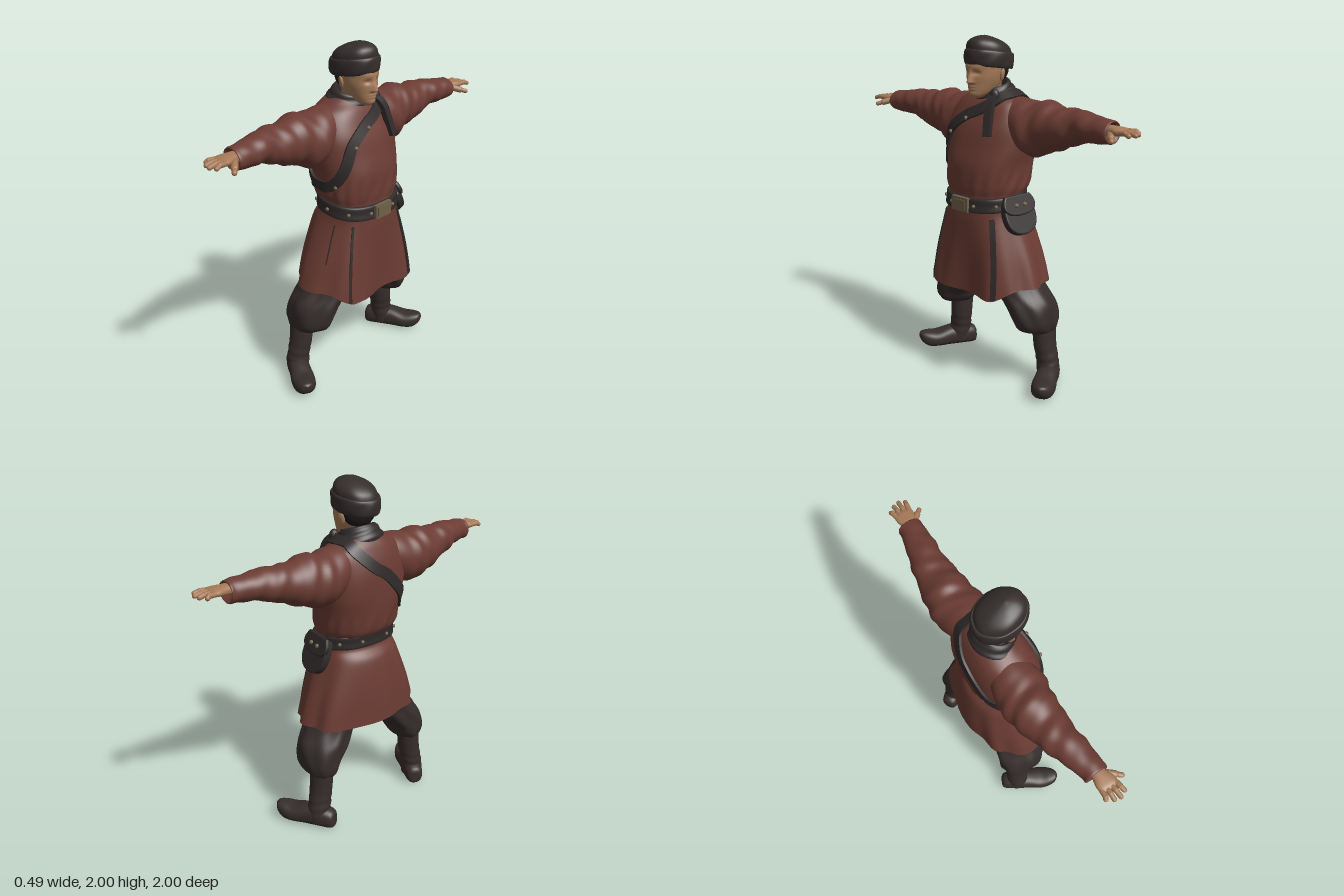
import * as THREE from 'three';
import { toCreasedNormals } from 'three/addons/utils/BufferGeometryUtils.js';

const mat = (name, color, side = THREE.FrontSide) => {
  const m = new THREE.MeshStandardMaterial({ color, side });
  m.name = name;
  return m;
};
const V = (x, y, z) => new THREE.Vector3(x, y, z);
const spow = (v, e) => Math.sign(v) * Math.pow(Math.abs(v), e);
const bump = (v, w) => Math.exp(-(v * v) / (w * w));
const step = THREE.MathUtils.smoothstep;

// Smoothly resample rows of [s, centreA, centreB, radiusA, radiusB]
function resample(rows, per) {
  const r = rows[0][0] > rows[rows.length - 1][0] ? [...rows].reverse() : rows;
  const out = [];
  for (let i = 0; i < r.length - 1; i++) {
    const [p0, p1, p2, p3] = [r[Math.max(0, i - 1)], r[i], r[i + 1], r[Math.min(r.length - 1, i + 2)]];
    for (let k = 0; k < per; k++) {
      const t = k / per;
      out.push(p1.map((b, c) => b + 0.5 * t * (p2[c] - p0[c] + t * (2 * p0[c] - 5 * b + 4 * p2[c] - p3[c] + t * (3 * (b - p2[c]) + p3[c] - p0[c])))));
    }
  }
  out.push(r[r.length - 1]);
  return out;
}

// Ring of a row at an angle; fold() scales the radius there
function ringPoint([s, a, b, ra, rb], ang, n, fold) {
  const k = fold ? 1 + fold(s, ang) : 1;
  return V(a + ra * k * spow(Math.cos(ang), 2 / n), s, b + rb * k * spow(Math.sin(ang), 2 / n));
}

// Skin over elliptical sections; map() turns the point into place
function loft(rows, { n = 2, seg = 40, per = 6, fold, map = p => p, caps = true } = {}) {
  const R = resample(rows, per), pos = [], idx = [];
  for (const row of R) {
    for (let j = 0; j < seg; j++) pos.push(...map(ringPoint(row, j / seg * Math.PI * 2, n, fold)).toArray());
  }
  for (let i = 0; i < R.length - 1; i++) for (let j = 0; j < seg; j++) {
    const a = i * seg + j, d = i * seg + (j + 1) % seg;
    idx.push(a, a + seg, d, a + seg, d + seg, d);
  }
  if (caps) {
    const last = (R.length - 1) * seg, c0 = R.length * seg;
    for (const r of [R[0], R[R.length - 1]]) pos.push(...map(V(r[1], r[0], r[2])).toArray());
    for (let j = 0; j < seg; j++) {
      const k = (j + 1) % seg;
      idx.push(c0, j, k, c0 + 1, last + k, last + j);
    }
  }
  const g = new THREE.BufferGeometry();
  g.setAttribute('position', new THREE.Float32BufferAttribute(pos, 3));
  g.setIndex(idx);
  g.computeVertexNormals();
  return g;
}

// Flat band through points, with outward normals
function band(pts, nor, width, thick, closed = false) {
  const N = pts.length, pos = [], idx = [];
  pts.forEach((p, i) => {
    const q = closed ? pts[(i + 1) % N] : pts[Math.min(N - 1, i + 1)];
    const o = closed ? pts[(i + N - 1) % N] : pts[Math.max(0, i - 1)];
    const side = nor[i].clone().cross(q.clone().sub(o)).normalize();
    for (const [s, h] of [[-1, -0.02], [-1, thick], [1, thick], [1, -0.02]]) {
      pos.push(...p.clone().addScaledVector(side, s * width / 2).addScaledVector(nor[i], h).toArray());
    }
  });
  for (let i = 0; i < (closed ? N : N - 1); i++) for (let c = 0; c < 4; c++) {
    const a = i * 4 + c, b = i * 4 + (c + 1) % 4, e = ((i + 1) % N) * 4;
    idx.push(a, e + c, b, e + c, e + (c + 1) % 4, b);
  }
  if (!closed) {
    const e = (N - 1) * 4;
    idx.push(0, 1, 2, 0, 2, 3, e, e + 2, e + 1, e, e + 3, e + 2);
  }
  const g = new THREE.BufferGeometry();
  g.setAttribute('position', new THREE.Float32BufferAttribute(pos, 3));
  g.setIndex(idx);
  return toCreasedNormals(g, 0.7);
}

function mirrorX(geo) {
  const g = geo.toNonIndexed().scale(-1, 1, 1);
  for (const at of Object.values(g.attributes)) for (let i = 0; i < at.count; i += 3) for (let c = 0; c < at.itemSize; c++) {
    const k = at.itemSize, t = at.array[(i + 1) * k + c];
    at.array[(i + 1) * k + c] = at.array[(i + 2) * k + c];
    at.array[(i + 2) * k + c] = t;
  }
  return g;
}

function capsule(p, q, r) {
  const d = q.clone().sub(p), g = new THREE.CapsuleGeometry(r, d.length(), 4, 10);
  g.applyQuaternion(new THREE.Quaternion().setFromUnitVectors(V(0, 1, 0), d.normalize()));
  return g.translate(...p.clone().add(q).multiplyScalar(0.5).toArray());
}

export function createModel() {
  const root = new THREE.Group();
  root.name = 'coatedMan';
  const coat = mat('coatRed', 0x6b3c33, THREE.DoubleSide), dark = mat('darkTrim', 0x302a2a);
  const cloth = mat('trouserCloth', 0x352d2c), boot = mat('bootLeather', 0x372e2d);
  const skin = mat('skin', 0xa67a58), hatM = mat('hatWool', 0x342d2c);
  const hairM = mat('hair', 0x201b1a), metal = mat('bronze', 0x6f6148);
  const add = (name, g, m) => {
    const o = new THREE.Mesh(g, m);
    o.name = name;
    root.add(o);
  };
  const pair = (name, g, m) => { add(name + 'Left', g, m); add(name + 'Right', mirrorX(g), m); };

  // Coat body with pleated skirt, the front panel longer and hollowed between its corners
  const coatRows = [[0.63, 0, 0, 0.378, 0.24], [0.8, 0, 0, 0.325, 0.23], [1.0, 0, 0.01, 0.248, 0.21], [1.07, 0, 0.03, 0.228, 0.185],
    [1.13, 0, 0.025, 0.222, 0.18], [1.19, 0, 0.01, 0.24, 0.2], [1.3, 0, 0, 0.25, 0.208], [1.4, 0, -0.015, 0.268, 0.2],
    [1.5, 0, -0.025, 0.275, 0.185], [1.58, 0, -0.035, 0.26, 0.16], [1.64, 0, -0.04, 0.22, 0.135], [1.68, 0, -0.045, 0.155, 0.11], [1.72, 0, -0.04, 0.09, 0.08]];
  const coatN = 2.35;
  const pleat = (y, a) => y < 1.1
    ? 0.035 * Math.min(1, (1.1 - y) * 2.5) * Math.sin(a * 8 + Math.sin(a * 3) + 0.8)
    : 0.022 * bump(y - 1.2, 0.07) * Math.sin(a * 17 + y * 20) + 0.01 * Math.sin(a * 5 + y * 18);
  const hang = p => {
    const low = Math.max(0, 1 - p.y) / 0.37, ax = Math.abs(p.x);
    const front = step(p.z, 0.08, 0.2) * (1 - step(ax, 0.22, 0.37));
    p.z += low * step(p.z, 0.05, 0.18) * (0.025 * bump(ax - 0.21, 0.07) - 0.03 * bump(p.x, 0.12));
    p.y -= 0.065 * low * front;
    return p;
  };
  add('coat', loft(coatRows, { n: coatN, seg: 96, per: 8, fold: pleat, map: hang, caps: false }), coat);

  // Points on the coat from [angle in degrees, height]
  const dense = resample(coatRows, 12);
  const onCoat = (deg, y) => {
    const i = Math.max(1, dense.findIndex(r => r[0] >= y)), a = dense[i - 1], b = dense[i];
    const t = (y - a[0]) / (b[0] - a[0]);
    return hang(ringPoint(a.map((v, c) => v + (b[c] - v) * t), deg * Math.PI / 180, coatN, pleat));
  };
  const coatBand = (path, width, thick, closed, count) => {
    const c = new THREE.CatmullRomCurve3(path.map(([d, y]) => V(d, y * 100, 0)));
    const pts = [], nor = [];
    for (let i = 0; i < count; i++) {
      const p = c.getPoint(i / (closed ? count : count - 1)), y = p.y / 100;
      const du = onCoat(p.x + 2, y).sub(onCoat(p.x - 2, y)), dv = onCoat(p.x, y + 0.015).sub(onCoat(p.x, y - 0.015));
      pts.push(onCoat(p.x, y));
      nor.push(dv.cross(du).normalize());
    }
    return band(pts, nor, width, thick, closed);
  };
  add('chestStrap', coatBand([[10, 1.685], [45, 1.67], [75, 1.625], [105, 1.545], [123, 1.475], [136, 1.38], [162, 1.27], [184, 1.24], [220, 1.3],
    [245, 1.41], [270, 1.53], [295, 1.625], [330, 1.68], [370, 1.685]], 0.062, 0.012, true, 90), dark);
  add('coatSlit', coatBand([[45, 1.02], [50, 0.8], [54, 0.635]], 0.032, 0.008, false, 24), dark);
  add('coatSeam', coatBand([[135, 1.02], [131, 0.8], [128, 0.635]], 0.014, 0.008, false, 24), dark);
  add('sideSeam', coatBand([[165, 1.02], [163, 0.8]], 0.006, 0.005, false, 14), dark);

  // Sleeves with slanting creases
  const armMap = p => V(p.y, p.z, p.x);
  const crease = (s, a) => step(s, 0.2, 0.35) * (0.028 * Math.sin(s * 47 + 2.4 * Math.sin(a + 0.6)) + 0.028 * Math.sin(s * 29 + 2 * a) + 0.02 * Math.sin(s * 70 - 3 * a));
  pair('sleeve', loft([[0.08, -0.05, 1.585, 0.08, 0.09], [0.2, -0.05, 1.538, 0.128, 0.135], [0.3, -0.05, 1.512, 0.143, 0.15], [0.4, -0.06, 1.53, 0.13, 0.137],
    [0.5, -0.05, 1.535, 0.11, 0.113], [0.6, -0.045, 1.557, 0.097, 0.09], [0.7, -0.025, 1.565, 0.08, 0.075], [0.8, -0.01, 1.562, 0.07, 0.061],
    [0.83, -0.01, 1.562, 0.068, 0.058], [0.832, -0.01, 1.562, 0.058, 0.049], [0.8, -0.005, 1.568, 0.03, 0.025]],
  { seg: 48, per: 10, fold: crease, map: armMap }), coat);

  // Hands
  pair('palm', loft([[0.78, 0, 1.573, 0.036, 0.028], [0.84, 0, 1.575, 0.04, 0.026], [0.88, 0.002, 1.577, 0.052, 0.022], [0.91, 0.004, 1.577, 0.053, 0.018], [0.93, 0.004, 1.576, 0.04, 0.009]],
    { n: 2.4, seg: 24, map: armMap }), skin);
  [0.955, 0.979, 0.986, 0.97].forEach((tip, i) => {
    const z = -0.036 + i * 0.026, z2 = z * 1.3, mid = V(0.945, 1.58, (z + z2) / 2);
    pair('finger' + (i + 1), capsule(V(0.9, 1.577, z), mid, 0.014), skin);
    pair('fingertip' + (i + 1), capsule(mid, V(tip, 1.572, z2), 0.0125), skin);
  });
  pair('thumb', capsule(V(0.845, 1.565, 0.025), V(0.88, 1.552, 0.07), 0.019), skin);
  pair('thumbTip', capsule(V(0.88, 1.552, 0.07), V(0.903, 1.543, 0.097), 0.0135), skin);

  // Head with modelled face
  const face = p => {
    const { x, y } = p;
    if (p.z < 0.06) return p;
    const nose = y > 1.752 ? Math.max(0, 1 - (y - 1.752) / 0.075) : Math.max(0, 1 - (1.752 - y) / 0.014);
    p.z += 0.03 * nose * bump(x, 0.013 + 0.006 * nose);
    p.z -= 0.011 * bump(Math.abs(x) - 0.036, 0.02) * bump(y - 1.802, 0.014);
    p.z += 0.004 * bump(x, 0.06) * bump(y - 1.828, 0.014);
    p.z += 0.004 * bump(x, 0.026) * (bump(y - 1.728, 0.006) + bump(y - 1.714, 0.006));
    p.z += 0.005 * bump(x, 0.025) * bump(y - 1.69, 0.012);
    return p;
  };
  add('head', loft([[1.665, 0, 0.1, 0.018, 0.02], [1.677, 0, 0.088, 0.038, 0.048], [1.7, 0, 0.06, 0.058, 0.082], [1.74, 0, 0.04, 0.077, 0.104],
    [1.78, 0, 0.035, 0.089, 0.112], [1.82, 0, 0.03, 0.094, 0.118], [1.86, 0, 0.025, 0.095, 0.12], [1.93, 0, 0.02, 0.06, 0.08]], { n: 2.1, seg: 96, per: 14, map: face }), skin);
  add('neck', loft([[1.58, 0, -0.02, 0.065, 0.065], [1.68, 0, -0.005, 0.06, 0.066], [1.77, 0, 0.0, 0.065, 0.07]]), skin);
  pair('ear', new THREE.SphereGeometry(1, 16, 12).scale(0.011, 0.036, 0.021).rotateY(0.4).rotateZ(-0.2).translate(0.1, 1.79, 0.003), skin);
  add('hair', new THREE.SphereGeometry(1, 32, 20).scale(0.098, 0.088, 0.075).translate(0, 1.82, -0.025), hairM);

  // Cap with turned-up band, tipped back a little
  const tilt = p => { p.y += 0.12 * (p.z - 0.03); return p; };
  add('hatBand', loft([[1.835, 0, 0.005, 0.095, 0.118], [1.828, 0, 0.005, 0.113, 0.138], [1.85, 0, 0.005, 0.122, 0.148], [1.895, 0, 0.005, 0.124, 0.149],
    [1.915, 0, 0.005, 0.117, 0.14], [1.91, 0, 0.005, 0.098, 0.12]], { seg: 64, map: tilt, fold: (s, a) => 0.01 * Math.sin(a * 7 + s * 60) }), hatM);
  add('hatCrown', loft([[1.89, 0, 0.005, 0.112, 0.135], [1.935, 0, 0.01, 0.109, 0.13], [1.965, 0, 0.02, 0.088, 0.104], [1.987, 0, 0.03, 0.046, 0.055], [1.997, 0, 0.035, 0.006, 0.006]],
    { seg: 64, map: tilt, fold: (s, a) => 0.012 * Math.sin(a * 6) }), hatM);

  // Collar, knot and hanging scarf end
  const slope = p => { p.y -= 0.32 * (p.z + 0.03); return p; };
  add('collar', loft([[1.64, 0, -0.03, 0.152, 0.125], [1.68, 0, -0.028, 0.137, 0.116], [1.71, 0, -0.022, 0.118, 0.102], [1.738, 0, -0.018, 0.1, 0.09],
    [1.735, 0, -0.015, 0.085, 0.075], [1.68, 0, -0.015, 0.065, 0.06]], { seg: 56, map: slope, fold: (s, a) => 0.02 * Math.sin(s * 150 + a * 2) }), dark);
  add('scarfKnot', new THREE.SphereGeometry(1, 16, 12).scale(0.03, 0.035, 0.025).translate(0.1, 1.685, 0.065), dark);
  const tail = new THREE.CatmullRomCurve3([V(0.09, 1.7, 0.06), V(0.112, 1.65, 0.11), V(0.125, 1.57, 0.14), V(0.142, 1.475, 0.165)]).getPoints(14);
  add('scarfEnd', band(tail, tail.map(() => V(0.2, 0.2, 1).normalize()), 0.045, 0.012), dark);

  // Belt, buckle and studs
  const lean = p => { p.y -= 0.1 * (p.z - 0.03); return p; };
  add('belt', loft([[1.068, 0, 0.03, 0.21, 0.17], [1.07, 0, 0.03, 0.24, 0.197], [1.105, 0, 0.028, 0.239, 0.195], [1.143, 0, 0.026, 0.236, 0.193], [1.145, 0, 0.026, 0.21, 0.165]],
    { n: coatN, seg: 64, map: lean }), dark);
  add('buckle', new THREE.BoxGeometry(0.125, 0.08, 0.022).translate(-0.005, 1.088, 0.225), metal);
  add('buckleInset', new THREE.BoxGeometry(0.095, 0.052, 0.008).translate(-0.005, 1.088, 0.237), metal);
  for (let i = 0; i < 10; i++) {
    const p = lean(ringPoint([1.105, 0, 0.028, 0.241, 0.197], (i + 0.5) * Math.PI / 5 + Math.PI / 2, coatN));
    add('beltStud' + i, new THREE.SphereGeometry(0.011, 10, 8).translate(p.x, p.y, p.z), metal);
  }
  [[95, 1.555], [118, 1.47], [162, 1.25]].forEach(([d, y], i) =>
    add('strapButton' + i, new THREE.SphereGeometry(0.012, 10, 8).translate(...onCoat(d, y).add(V(-0.006, 0, 0.012)).toArray()), metal));

  // Belt pouch on the left hip
  const flap = (w, h, depth) => {
    const s = new THREE.Shape();
    s.moveTo(-w * 0.75, 0);
    s.lineTo(w * 0.75, 0);
    s.bezierCurveTo(w * 1.15, -h * 0.6, w * 0.9, -h, 0, -h);
    s.bezierCurveTo(-w * 0.9, -h, -w * 1.15, -h * 0.6, -w * 0.75, 0);
    const g = new THREE.ExtrudeGeometry(s, { depth, bevelEnabled: true, bevelSize: 0.008, bevelThickness: 0.008, bevelSegments: 3, curveSegments: 16 });
    return g.rotateY(Math.PI / 2);
  };
  const place = g => g.rotateZ(0.4).rotateY(-0.1).translate(0.212, 1.12, 0.03);
  add('pouch', place(flap(0.108, 0.2, 0.028)), dark);
  add('pouchFlap', place(flap(0.112, 0.1, 0.01).translate(0.03, 0.006, 0)), dark);
  for (const z of [-0.03, 0.03]) add('pouchStud', place(new THREE.SphereGeometry(0.013, 10, 8).translate(0.05, -0.045, z)), metal);

  // Baggy trousers
  add('trouserSeat', loft([[0.58, 0, -0.02, 0.1, 0.11], [0.66, 0, -0.02, 0.24, 0.17], [0.85, 0, 0, 0.25, 0.18], [1.0, 0, 0.01, 0.2, 0.16]]), cloth);
  pair('trouserLeg', loft([[0.8, 0.13, -0.02, 0.13, 0.16], [0.62, 0.212, -0.02, 0.142, 0.155], [0.52, 0.28, -0.035, 0.142, 0.158], [0.43, 0.325, -0.045, 0.112, 0.153],
    [0.38, 0.335, -0.055, 0.097, 0.138], [0.345, 0.34, -0.075, 0.075, 0.1], [0.33, 0.34, -0.09, 0.04, 0.06]],
  { seg: 56, per: 8, fold: (s, a) => 0.035 * Math.sin(a * 5 + s * 14) + 0.022 * Math.sin(a * 9 - s * 20) }), cloth);

  // Boots with turned-out, upturned toes
  pair('bootShaft', loft([[0.37, 0.345, -0.1, 0.064, 0.074], [0.25, 0.355, -0.1, 0.064, 0.071], [0.15, 0.372, -0.106, 0.066, 0.066], [0.08, 0.382, -0.105, 0.066, 0.07], [0.03, 0.382, -0.105, 0.06, 0.065]],
    { per: 8, fold: (s, a) => 0.03 * bump(s - 0.16, 0.06) * Math.sin(s * 110 + a) }), boot);
  const fx = Math.sin(0.52), fz = Math.cos(0.52);
  const footMap = p => V(0.33 - fz * p.x + fx * p.y, Math.max(0, p.z), -0.2 + fx * p.x + fz * p.y);
  pair('bootFoot', loft([[0, 0, 0.05, 0.025, 0.035], [0.02, 0, 0.056, 0.05, 0.056], [0.1, 0, 0.066, 0.062, 0.066], [0.18, 0, 0.062, 0.064, 0.062], [0.26, 0, 0.052, 0.07, 0.051],
    [0.32, 0, 0.056, 0.06, 0.05], [0.36, 0, 0.07, 0.038, 0.034], [0.376, 0, 0.08, 0.008, 0.012]], { n: 2.4, map: footMap }), boot);

  // Turn the figure to look along +x
  root.rotation.y = Math.PI / 2;
  const out = new THREE.Group();
  out.name = 'figure';
  out.add(root);
  return out;
}
